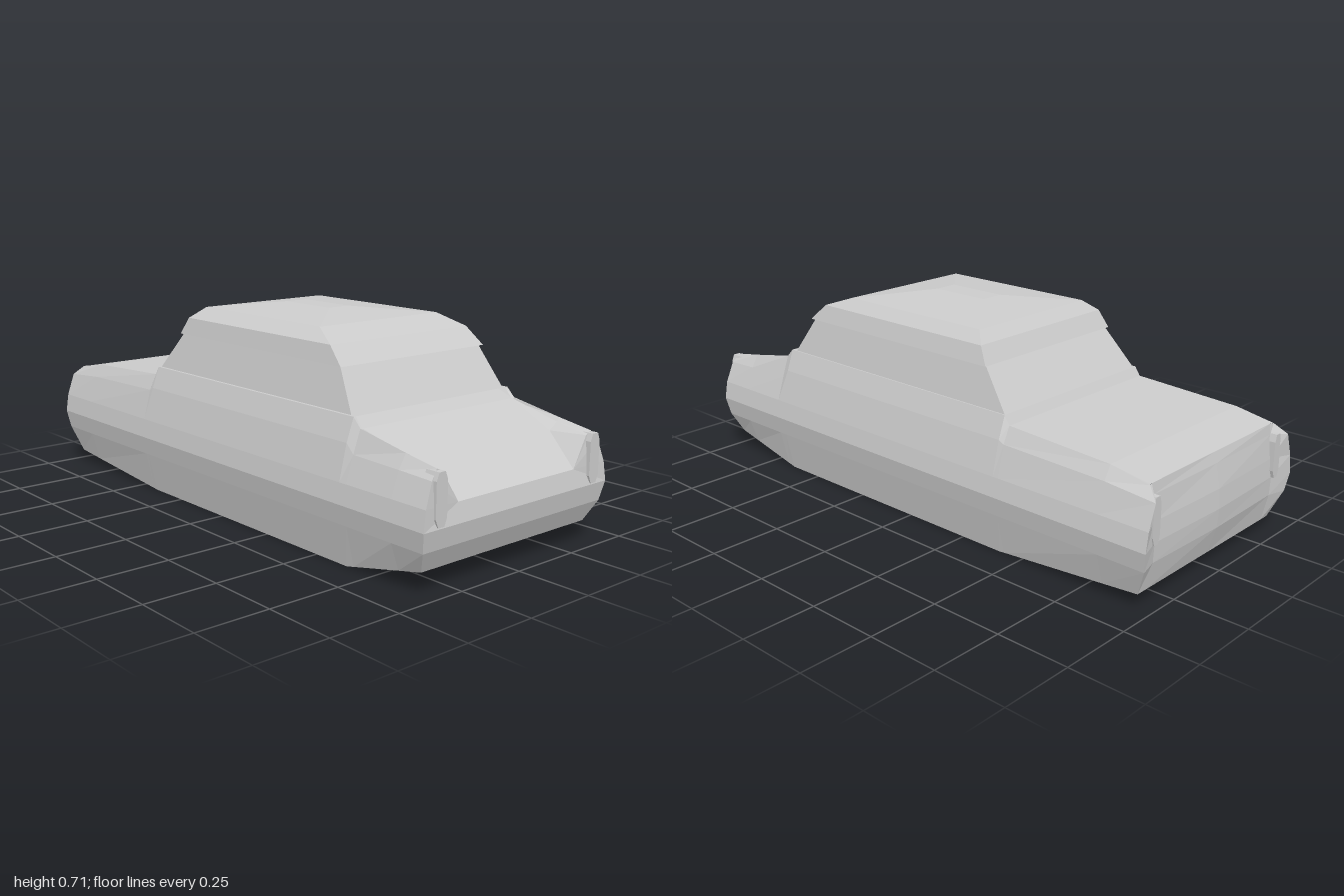
import * as THREE from 'three';

const material = () => new THREE.MeshStandardMaterial({ color: 0xcccccc, flatShading: true });

// Collects flat polygons given counter-clockwise from outside
class Faces {
  constructor() { this.p = []; }
  poly(...v) {
    for (let i = 1; i < v.length - 1; i++) this.p.push(...v[0], ...v[i], ...v[i + 1]);
  }
  loft(rings) {
    for (let i = 0; i < rings.length - 1; i++) {
      const a = rings[i], b = rings[i + 1];
      for (let j = 0; j < a.length; j++) {
        const k = (j + 1) % a.length;
        this.poly(a[j], b[j], b[k], a[k]);
      }
    }
  }
  mesh(name) {
    const g = new THREE.BufferGeometry();
    g.setAttribute('position', new THREE.Float32BufferAttribute(this.p, 3));
    g.computeVertexNormals();
    const m = new THREE.Mesh(g, material());
    m.name = name;
    return m;
  }
}

const flip = ([x, y, z]) => [x, y, -z];

// Half cross-section from the floor centre, around the side, to the deck centre
function halfSection({ x, yb, yt, yh = yt, zi = 0.335, zh = 0.3, ys = yt - 0.075 }) {
  const pts = [[yb, 0], [yb, 0.367], [0.14, 0.398], [0.205, 0.41], [0.27, 0.4],
    [ys, 0.372], [yt, 0.345], [yh < yt ? yt - 0.012 : yt, zi], [yh, zh], [yh, 0]];
  return pts.map(([y, z], i) => [Array.isArray(x) ? x[i] : x, y, z]);
}

function bodyShell() {
  const rearX = [-0.95, -0.95, -0.99, -1, -1, -1, -0.96, -0.955, -0.955, -0.955];
  const frontX = [0.95, 0.95, 0.985, 0.998, 0.995, 0.988, 0.98, 0.98, 0.985, 0.985];
  const halves = [
    { x: rearX, yb: 0.045, yt: 0.385, ys: 0.35 },
    { x: -0.82, yb: 0.034, yt: 0.41, ys: 0.365 },
    { x: -0.43, yb: 0.002, yt: 0.43, ys: 0.375 },
    { x: -0.41, yb: 0, yt: 0.46, ys: 0.385 },
    { x: 0.64, yb: 0, yt: 0.46, ys: 0.385 },
    { x: 0.67, yb: 0.007, yt: 0.43, yh: 0.428, zi: 0.34, zh: 0.335 },
    { x: 0.86, yb: 0.05, yt: 0.395, yh: 0.36, zi: 0.33, zh: 0.295, ys: 0.35 },
    { x: frontX, yb: 0.07, yt: 0.375, yh: 0.265, zi: 0.322, zh: 0.26, ys: 0.345 },
  ].map(halfSection);
  const f = new Faces();
  f.loft(halves.map((h) => [...h, ...h.slice(1, -1).reverse().map(flip)]));

  // Tail panel, set in between the corners
  const rear = halves[0].slice(1, 7);
  const insetX = [-0.95, -0.972, -0.975, -0.97, -0.96, -0.955];
  const middleX = [-0.95, -0.98, -0.985, -0.98, -0.965, -0.955];
  const inset = rear.map(([, y], i) => [insetX[i], y, 0.33]);
  const middle = rear.map(([, y], i) => [middleX[i], y, 0]);
  const cols = [rear.map(flip), inset.map(flip), middle, inset, rear];
  for (let c = 0; c < 4; c++)
    for (let r = 0; r < 5; r++)
      f.poly(cols[c][r], cols[c + 1][r], cols[c + 1][r + 1], cols[c][r + 1]);

  // Nose panel
  const n = halves[halves.length - 1];
  for (const [a, b] of [[1, 2], [2, 3], [3, 8]]) f.poly(n[a], flip(n[a]), flip(n[b]), n[b]);
  // Fender ends
  for (let k = 3; k < 7; k++) {
    f.poly(n[8], n[k + 1], n[k]);
    f.poly(flip(n[8]), flip(n[k]), flip(n[k + 1]));
  }
  return f.mesh('bodyShell');
}

// Rectangular levels [y, x0, x1, z0, z1] stacked upward and closed
function stack(name, levels) {
  const rings = levels.map(([y, x0, x1, z0, z1]) =>
    [[x1, y, z1], [x0, y, z1], [x0, y, z0], [x1, y, z0]]);
  const f = new Faces();
  f.loft(rings);
  f.poly(...rings[0]);
  f.poly(...rings[rings.length - 1].slice().reverse());
  return f.mesh(name);
}

// Tall eight-sided lamp
function lamp(name, x, y, z, height, width, depth) {
  const w = width / 2, h = height / 2, cw = w * 0.55, ch = 0.025;
  const s = new THREE.Shape([[cw, -h], [w, -h + ch], [w, h - ch], [cw, h], [-cw, h],
    [-w, h - ch], [-w, -h + ch], [-cw, -h]].map((p) => new THREE.Vector2(...p)));
  const g = new THREE.ExtrudeGeometry(s, { depth, bevelEnabled: false });
  g.rotateY(Math.PI / 2);
  const m = new THREE.Mesh(g, material());
  m.name = name;
  m.position.set(x, y, z);
  return m;
}

export function createModel() {
  const car = new THREE.Group();
  car.name = 'car';
  car.add(bodyShell());
  // Window band
  car.add(stack('cabin', [
    [0.455, -0.41, 0.622, -0.342, 0.336],
    [0.595, -0.3, 0.53, -0.315, 0.302],
  ]));
  // Roof, slightly overhanging the windows
  car.add(stack('roof', [
    [0.591, -0.31, 0.545, -0.325, 0.313],
    [0.65, -0.275, 0.482, -0.308, 0.3],
    [0.688, -0.237, 0.375, -0.274, 0.25],
    [0.711, -0.04, 0.185, -0.04, 0.045],
  ]));
  for (const s of [1, -1]) {
    car.add(lamp('headLamp', 0.95, 0.29, s * 0.343, 0.16, 0.045, 0.05));
    car.add(lamp('tailLamp', -0.985, 0.28, s * 0.338, 0.15, 0.035, 0.03));
  }
  return car;
}
